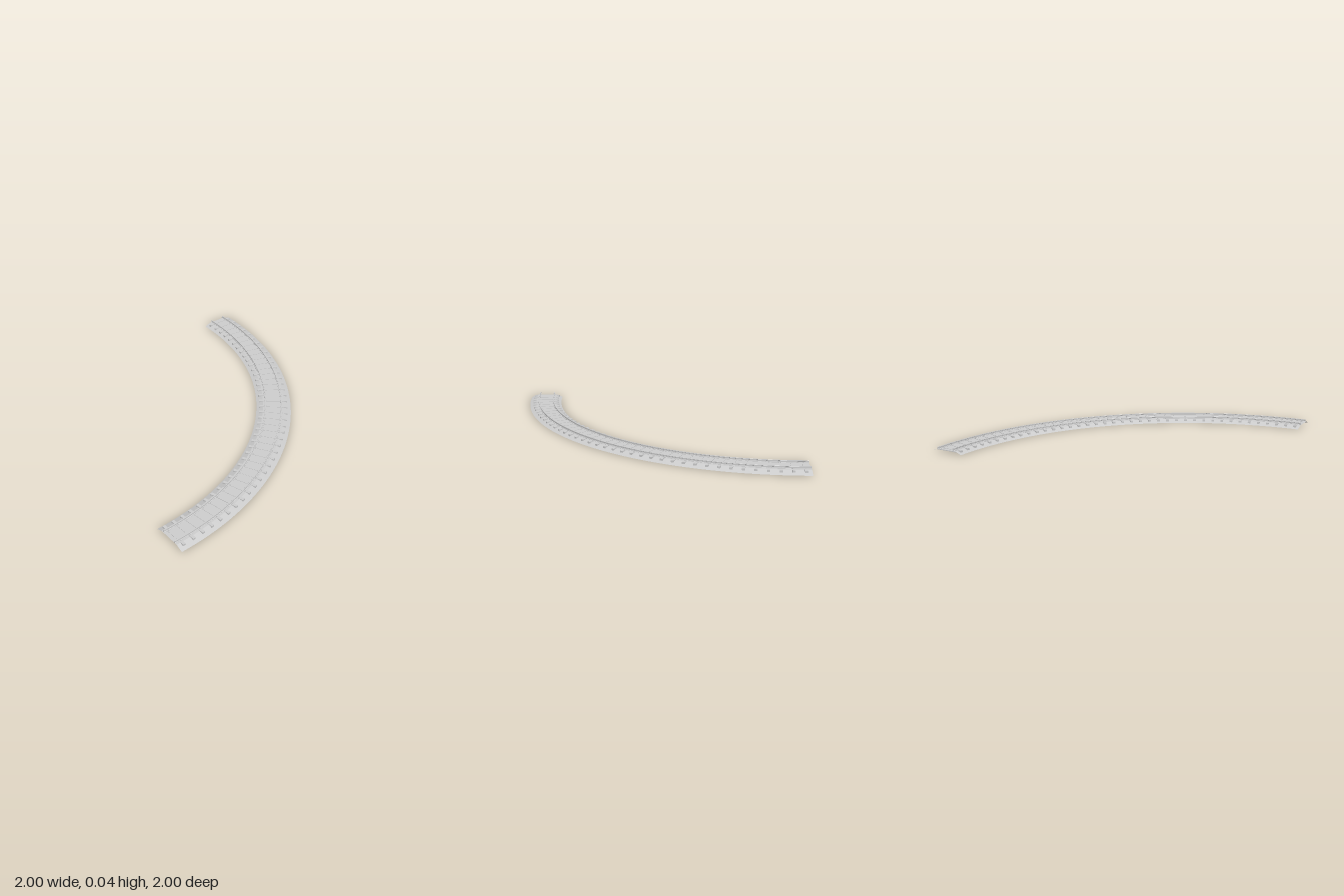
import * as THREE from 'three';
import { toCreasedNormals } from 'three/addons/utils/BufferGeometryUtils.js';

const ARC = Math.PI / 2;
const SLEEPERS = 40;
const MID = 1.8725;               // radius of the track centre line
const RAILS = [1.815, 1.93];      // radii of the two rails
const BED = 0.02;                 // top of the ballast
const SLEEPER_TOP = 0.0225;

const material = new THREE.MeshStandardMaterial({ color: 0xcccccc });
const openMaterial = new THREE.MeshStandardMaterial({ color: 0xcccccc, side: THREE.DoubleSide });

// Sweeps a (radius, height) profile through the quarter turn
function sweep(points) {
  const profile = points.map(([r, y]) => new THREE.Vector2(r, y));
  return toCreasedNormals(new THREE.LatheGeometry(profile, 64, 0, ARC), 0.3);
}

function addMesh(parent, name, geometry, mat = material) {
  const mesh = new THREE.Mesh(geometry, mat);
  mesh.name = name;
  parent.add(mesh);
  return mesh;
}

// Rail section: wide foot, thin web, rounded-off head
function railSection(radius) {
  const half = [
    [0.006, SLEEPER_TOP], [0.006, 0.0242], [0.0014, 0.0258],
    [0.0014, 0.0325], [0.0036, 0.0338], [0.0036, 0.0372], [0.0028, 0.0382],
  ];
  const right = half.map(([x, y]) => [radius + x, y]);
  const left = half.map(([x, y]) => [radius - x, y]).reverse();
  return [...right, ...left];
}

export function createModel() {
  const group = new THREE.Group();
  group.name = 'curvedTrack';

  // The bend turns about one corner of the footprint
  const track = new THREE.Group();
  track.name = 'track';
  track.position.set(-1, 0, -1);
  group.add(track);

  // Ballast bed, an open shell with sloping shoulders
  addMesh(track, 'ballast', sweep([[2, 0], [1.948, BED], [1.797, BED], [1.75, 0]]), openMaterial);

  // Rails with closed ends
  for (const radius of RAILS) {
    const rail = new THREE.Group();
    rail.name = 'rail';
    track.add(rail);
    const section = railSection(radius);
    addMesh(rail, 'railBody', sweep([...section, section[0]]), openMaterial);
    const cap = new THREE.ShapeGeometry(new THREE.Shape(section.map(([r, y]) => new THREE.Vector2(r, y))));
    addMesh(rail, 'railEnd', cap, openMaterial).rotation.y = -Math.PI / 2;
    addMesh(rail, 'railEnd', cap, openMaterial);
  }

  // Sleepers with a pair of clips gripping each rail
  const sleeperBottom = 0.005;
  const sleeperGeometry = new THREE.BoxGeometry(0.204, SLEEPER_TOP - sleeperBottom, 0.02);
  const clipGeometry = new THREE.BoxGeometry(0.006, 0.004, 0.009);
  for (let i = 0; i < SLEEPERS; i++) {
    const unit = new THREE.Group();
    unit.name = 'sleeperUnit';
    unit.rotation.y = -ARC * (i + 0.5) / SLEEPERS;
    track.add(unit);
    addMesh(unit, 'sleeper', sleeperGeometry).position.set(MID, (SLEEPER_TOP + sleeperBottom) / 2, 0);
    for (const radius of RAILS) {
      for (const side of [-1, 1]) {
        addMesh(unit, 'railClip', clipGeometry).position.set(radius + side * 0.0065, SLEEPER_TOP + 0.002, 0);
      }
    }
  }
  return group;
}
